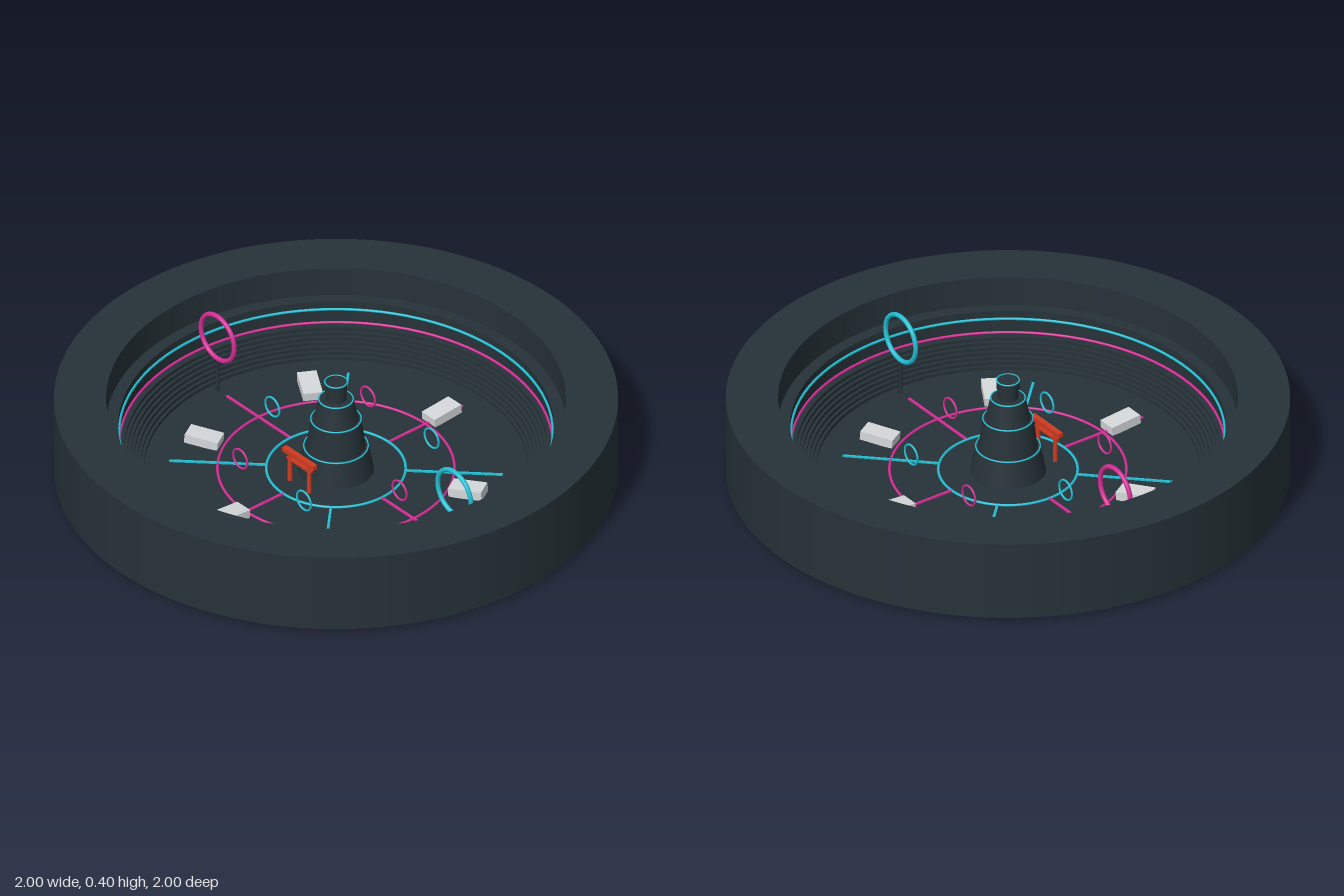
import * as THREE from 'three';
import { mergeGeometries } from 'three/addons/utils/BufferGeometryUtils.js';

const mat = (name, color) => new THREE.MeshStandardMaterial({ name, color });

// Turned solid with a crisp edge at every profile point
function turned(points, segments = 96) {
  const bands = [];
  for (let i = 0; i < points.length - 1; i++) {
    const pair = [points[i], points[i + 1]].map(([r, y]) => new THREE.Vector2(r, y));
    bands.push(new THREE.LatheGeometry(pair, segments));
  }
  return mergeGeometries(bands);
}

export function createModel() {
  const group = new THREE.Group();
  const dark = mat('dark slate', 0x263238);
  const cyan = mat('cyan', 0x22bfd4);
  const magenta = mat('magenta', 0xd62d96);
  const red = mat('vermilion', 0xd13a20);
  const pale = mat('pale grey', 0xd5d8da);
  const floor = 0.02;

  function add(name, geometry, material, x = 0, y = 0, z = 0, parent = group) {
    const mesh = new THREE.Mesh(geometry, material);
    mesh.name = name;
    mesh.position.set(x, y, z);
    parent.add(mesh);
    return mesh;
  }
  function flatRing(name, radius, tube, y, material) {
    add(name, new THREE.TorusGeometry(radius, tube, 8, 96), material, 0, y, 0).rotation.x = Math.PI / 2;
  }

  // Round bowl: base disc, thick rim, ledge and terraced inner slope
  const bowl = [[0, 0], [0.765, 0], [0.765, 0.015], [1, 0.015], [1, 0.32],
    [0.815, 0.32], [0.815, 0.206], [0.772, 0.206], [0.772, 0.11]];
  const steps = 7;
  for (let i = 0; i < steps; i++) {
    const r = 0.75 - (0.07 * i) / (steps - 1);
    const y = 0.11 - (0.09 * i) / steps;
    bowl.push([r, y], [r, y - 0.09 / steps]);
  }
  bowl.push([0, floor]);
  add('bowl', turned(bowl, 128), dark);

  // Glowing bands on the inner wall and circles on the floor
  flatRing('upperWallBand', 0.769, 0.005, 0.176, cyan);
  flatRing('lowerWallBand', 0.769, 0.005, 0.12, magenta);
  flatRing('innerFloorRing', 0.247, 0.005, floor + 0.002, cyan);
  flatRing('outerFloorRing', 0.42, 0.005, floor + 0.002, magenta);

  // Eight floor spokes
  for (let i = 0; i < 8; i++) {
    const a = (i * Math.PI) / 4;
    const spoke = add('floorSpoke', new THREE.BoxGeometry(0.345, 0.006, 0.009), i % 2 ? cyan : magenta,
      0.42 * Math.cos(a), floor + 0.003, 0.42 * Math.sin(a));
    spoke.rotation.y = -a;
  }

  // Central tiered tower: bottom radius, top radius, bottom y, top y
  const tiers = [[0.135, 0.115, floor, 0.12], [0.105, 0.09, 0.12, 0.235],
    [0.08, 0.062, 0.235, 0.32], [0.037, 0.037, 0.32, 0.36], [0.041, 0.041, 0.36, 0.393]];
  tiers.forEach(([r0, r1, y0, y1], i) => {
    add('towerTier', new THREE.CylinderGeometry(r1, r0, y1 - y0, 32), dark, 0, (y0 + y1) / 2, 0);
    if (i !== 3) flatRing('towerTrim', r1 - 0.001, 0.003, y1 - 0.001, cyan);
  });

  // Six pale ramps and six small floating hoops
  for (let i = 0; i < 6; i++) {
    const a = (i * Math.PI) / 3;
    const ramp = new THREE.Group();
    ramp.name = 'ramp';
    ramp.rotation.y = a;
    group.add(ramp);
    add('rampBlock', new THREE.BoxGeometry(0.07, 0.035, 0.125), pale, 0, floor + 0.02, 0.495, ramp).rotation.x = -0.08;
    add('smallHoop', new THREE.TorusGeometry(0.038, 0.004, 8, 32), i % 2 ? cyan : magenta,
      0.345 * Math.cos(a), 0.105, 0.345 * Math.sin(a));
  }

  // Two large hoops on posts
  for (const side of [-1, 1]) {
    add('largeHoop', new THREE.TorusGeometry(0.09, 0.009, 10, 48), side < 0 ? magenta : cyan, side * 0.642, 0.248, 0);
    add('hoopPost', new THREE.CylinderGeometry(0.007, 0.007, 0.13, 10), dark, side * 0.642, floor + 0.065, 0);
  }

  // Red gate in front of the tower
  const gate = new THREE.Group();
  gate.name = 'gate';
  gate.position.set(0, 0, 0.17);
  group.add(gate);
  add('gateTopBeam', new THREE.BoxGeometry(0.166, 0.018, 0.02), red, 0, 0.14, 0, gate);
  add('gateLowerBeam', new THREE.BoxGeometry(0.13, 0.01, 0.012), red, 0, 0.112, 0, gate);
  for (const side of [-1, 1]) {
    add('gatePost', new THREE.CylinderGeometry(0.008, 0.009, 0.115, 10), red, side * 0.052, floor + 0.0575, 0, gate);
  }
  return group;
}
